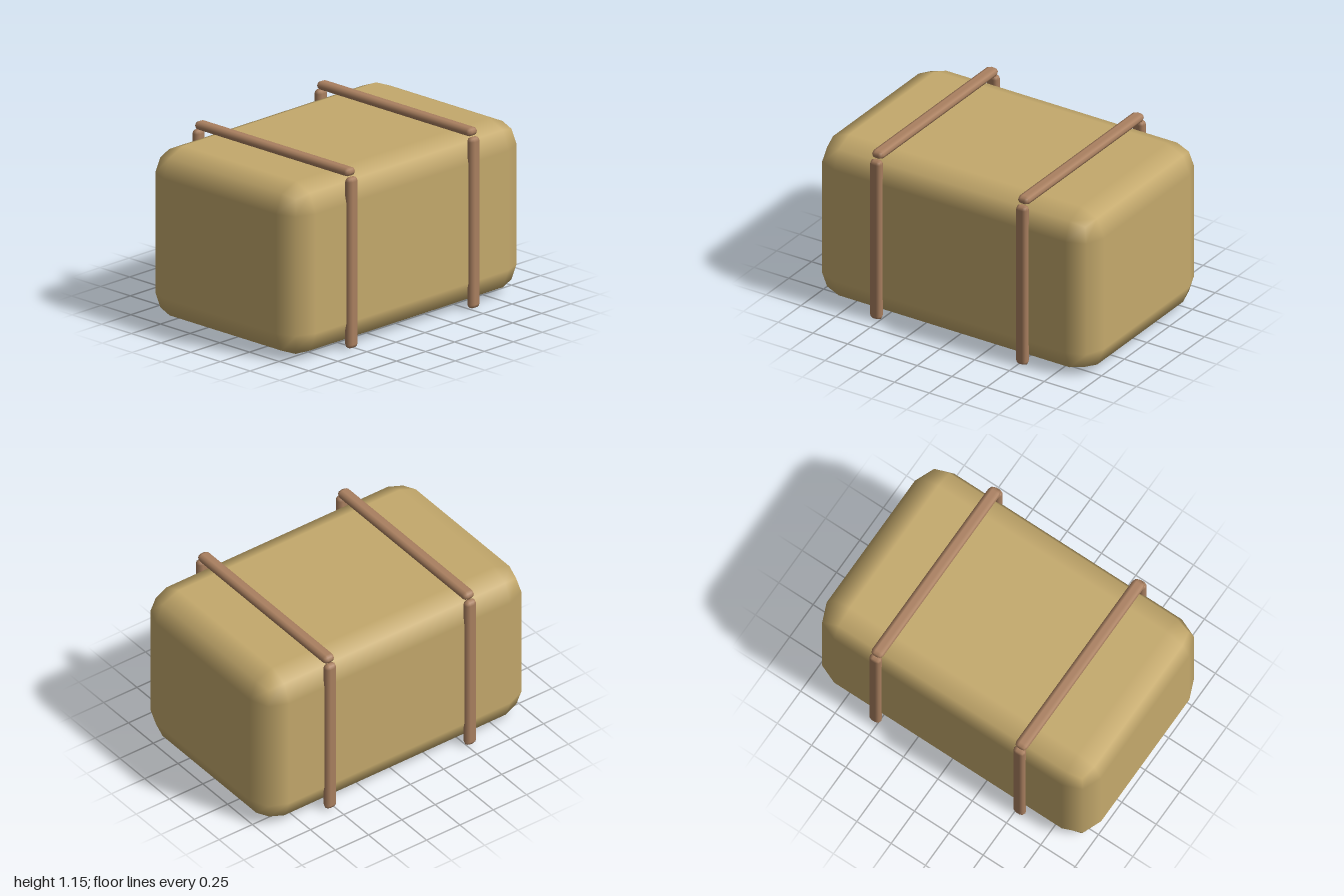
import * as THREE from 'three';
import { RoundedBoxGeometry } from 'three/addons/geometries/RoundedBoxGeometry.js';

export function createModel() {
  const model = new THREE.Group();
  model.name = 'strappedBale';

  const straw = new THREE.MeshStandardMaterial({ name: 'straw', color: 0xc4a96c });
  const leather = new THREE.MeshStandardMaterial({ name: 'leather', color: 0xaa8060 });

  // Chamfered block with smooth normals
  function block(name, material, size, radius, position) {
    const mesh = new THREE.Mesh(new RoundedBoxGeometry(...size, 1, radius), material);
    mesh.name = name;
    mesh.position.set(...position);
    model.add(mesh);
  }

  // Bale
  block('bale', straw, [2, 1.1, 1.285], 0.17, [0, 0.55, 0]);

  // Straps: one bar across the top, one down the front and one down the back
  const width = 0.082, thick = 0.055, r = thick / 2;
  for (const [side, x] of [['left', 0.525], ['right', -0.525]]) {
    block(side + 'TopStrap', leather, [width, thick, 1.3], r, [x, 1.122, 0]);
    block(side + 'FrontStrap', leather, [width, 1.09, thick], r, [x, 0.55, 0.644]);
    block(side + 'BackStrap', leather, [width, 1.09, thick], r, [x, 0.55, -0.644]);
  }
  return model;
}
